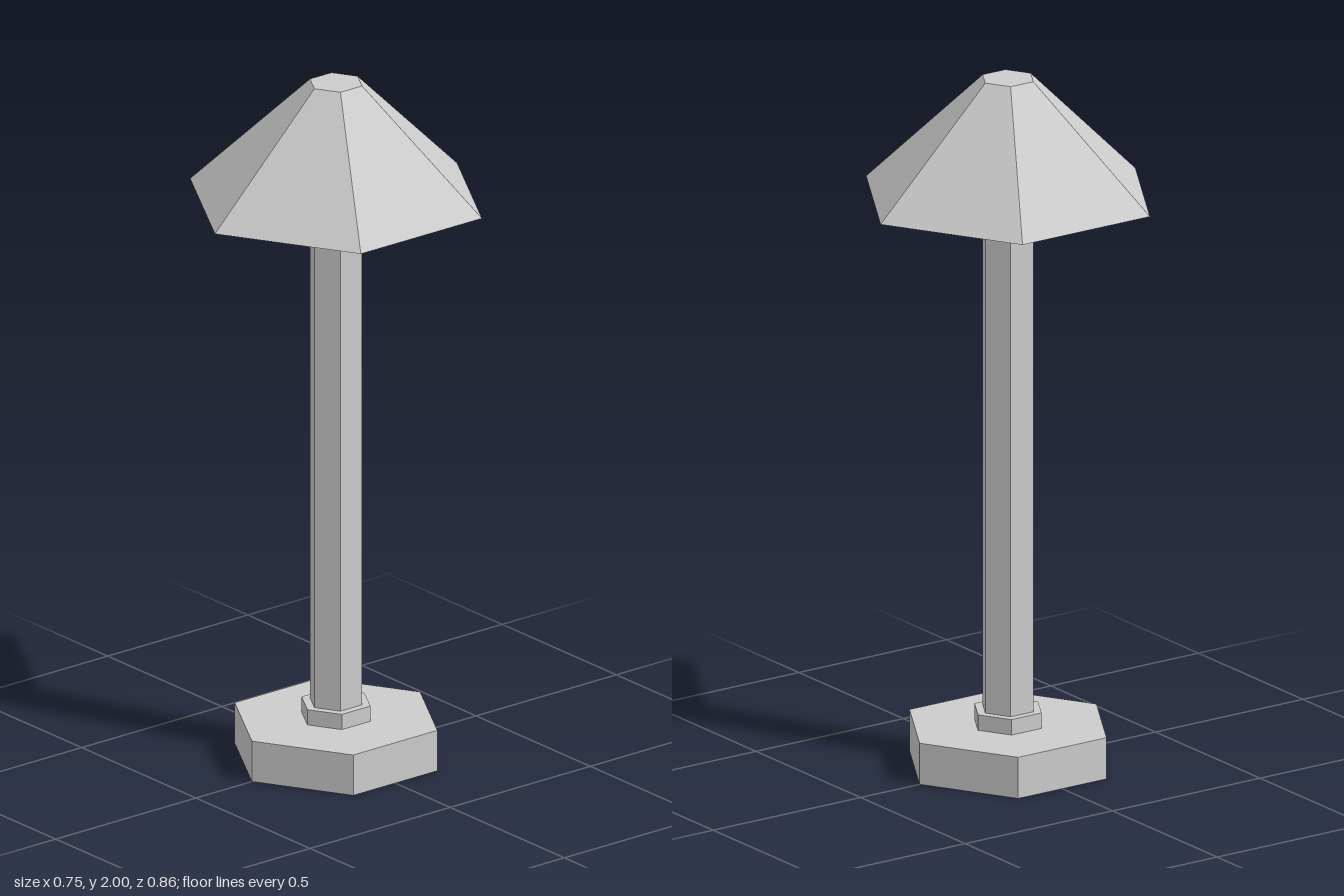
import * as THREE from 'three';

const SIDES = 6;

export function createModel() {
  const model = new THREE.Group();
  model.name = 'lamp';
  const material = new THREE.MeshStandardMaterial({ color: 0xcccccc, flatShading: true });

  const add = (name, geometry, y = 0) => {
    const mesh = new THREE.Mesh(geometry, material);
    mesh.name = name;
    mesh.position.y = y;
    model.add(mesh);
  };

  // Hexagonal prism standing between two heights, one corner facing the front
  const prism = (name, radius, bottom, top) =>
    add(name, new THREE.CylinderGeometry(radius, radius, top - bottom, SIDES), (bottom + top) / 2);

  prism('base', 0.3, 0, 0.12);
  prism('collar', 0.102, 0.12, 0.165);
  prism('pole', 0.077, 0.165, 1.66);

  // Shade: underside dips slightly towards the pole, top is cut flat
  const profile = [[0, 1.64], [0.077, 1.64], [0.432, 1.656], [0.077, 2], [0, 2]]
    .map(([r, y]) => new THREE.Vector2(r, y));
  add('shade', new THREE.LatheGeometry(profile, SIDES));

  return model;
}
